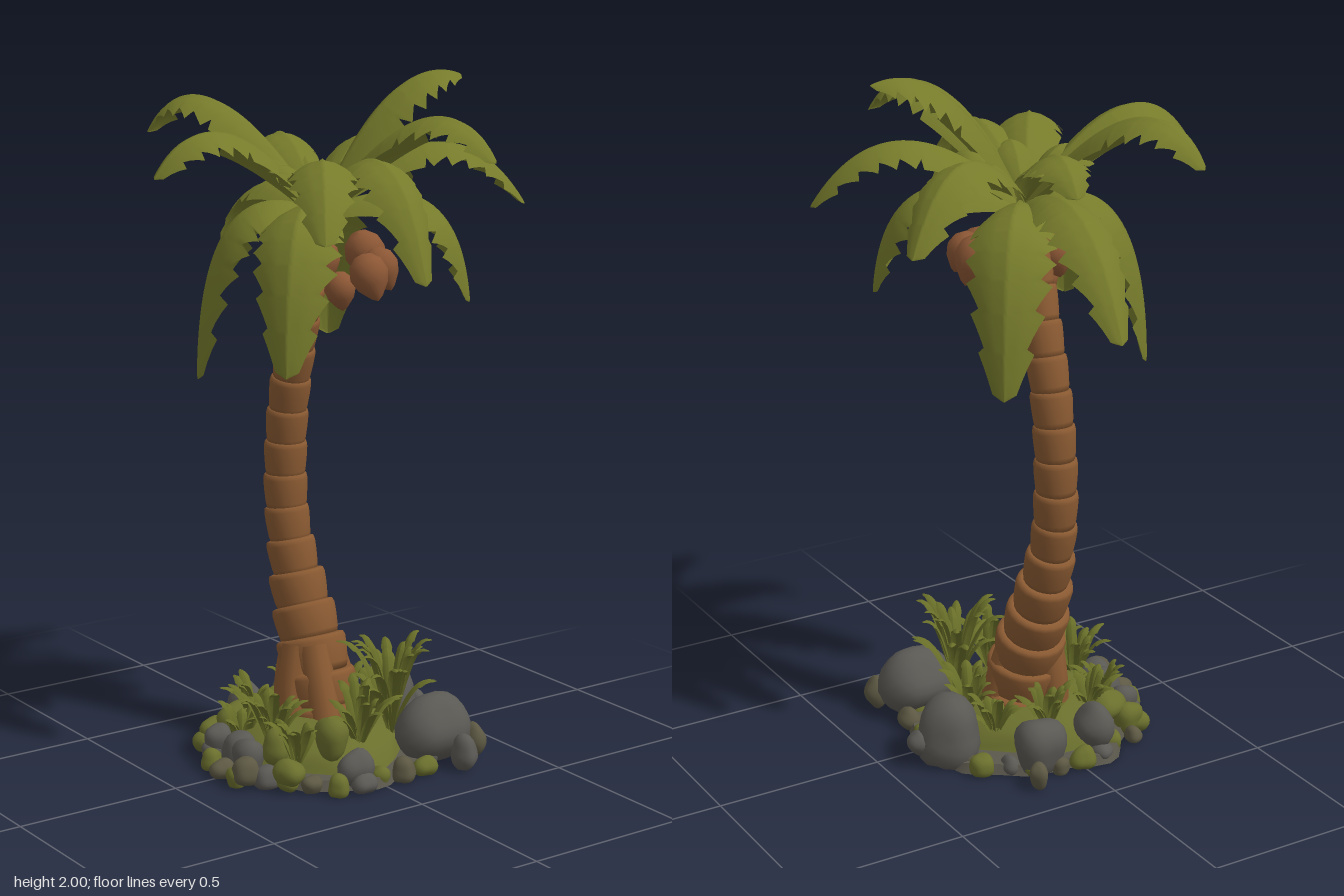
import * as THREE from 'three';
import { mergeVertices, mergeGeometries } from 'three/addons/utils/BufferGeometryUtils.js';

const mat = (name, color, side = THREE.FrontSide) => {
  const m = new THREE.MeshStandardMaterial({ color, side });
  m.name = name;
  return m;
};
const V = (x, y, z) => new THREE.Vector3(x, y, z);

// Repeatable random numbers
function seeded(seed) {
  let s = seed;
  return () => (s = (s * 16807) % 2147483647) / 2147483647;
}

// Arched leaf: rows along a curve, edges hanging down, blunt saw-tooth outer half
function leafGeometry(base, tip, archY, halfWidth, { reach = 0.55, teeth = 9, depth = 0.28, hang = 0.55 } = {}) {
  const ctrl = base.clone().lerp(tip, reach).setY(archY);
  const curve = new THREE.QuadraticBezierCurve3(base, ctrl, tip);
  const dir = tip.clone().sub(base).setY(0).normalize();
  const side = V(-dir.z, 0, dir.x);
  const cols = [-1, -0.7, -0.35, -0.07, 0, 0.07, 0.35, 0.7, 1];
  const ts = [];
  for (let i = 0; i < teeth; i++) for (const f of [0, 0.3, 0.6, 0.9]) ts.push([(i + f) / teeth, f]);
  ts.push([1, 0]);
  const pos = [], idx = [];
  ts.forEach(([t, f], r) => {
    const p = curve.getPoint(t), tan = curve.getTangent(t);
    const up = side.clone().cross(tan).normalize();
    if (up.y < 0 || (Math.abs(up.y) < 0.05 && up.dot(dir) < 0)) up.negate();
    const body = Math.pow(Math.sin(Math.PI * (0.07 + 0.86 * Math.pow(t, 1.08))), 0.75);
    const w = t === 1 ? halfWidth * 0.03 : halfWidth * body;
    const notch = t > 0.4 ? 1 - depth * f : 1;
    for (const u of cols) {
      const a = Math.abs(u), k = a > 0.6 ? u * notch : u * (0.5 + 0.5 * notch);
      const vein = a < 0.01 ? 0.05 : 0;
      const q = p.clone().addScaledVector(side, k * w)
        .addScaledVector(up, w * (vein - hang * k * k))
        .addScaledVector(tan, -(1 - notch) * a * w * 0.3);
      pos.push(q.x, q.y, q.z);
    }
    if (r) for (let c = 0; c < cols.length - 1; c++) {
      const a = (r - 1) * cols.length + c, b = a + cols.length;
      idx.push(a, a + 1, b, a + 1, b + 1, b);
    }
  });
  const g = new THREE.BufferGeometry();
  g.setAttribute('position', new THREE.Float32BufferAttribute(pos, 3));
  g.setIndex(idx);
  g.computeVertexNormals();
  return g;
}

// Lumpy boulder with a flat underside at the given floor
function rockGeometry(x, y, z, rx, ry, rz, seed, floor = 0) {
  let g = new THREE.IcosahedronGeometry(1, 3);
  g.deleteAttribute('uv');
  g.deleteAttribute('normal');
  g = mergeVertices(g);
  const p = g.attributes.position, v = V(0, 0, 0);
  for (let i = 0; i < p.count; i++) {
    v.fromBufferAttribute(p, i);
    const k = 1 + 0.08 * Math.sin(v.x * 3 + seed) + 0.07 * Math.sin(v.y * 4 + seed * 2) + 0.08 * Math.cos(v.z * 3.5 + seed * 3);
    p.setXYZ(i, x + v.x * k * rx, Math.max(floor, y + v.y * k * ry), z + v.z * k * rz);
  }
  g.computeVertexNormals();
  return g;
}

export function createModel() {
  const root = new THREE.Group();
  const leafMat = mat('palm green', 0x767b2b, THREE.DoubleSide);
  const grassMat = mat('grass green', 0x686e28, THREE.DoubleSide);
  const barkMat = mat('bark brown', 0x8a5a32);
  const nutMat = mat('coconut brown', 0x8c5735);
  const stoneMat = mat('stone grey', 0x5b5954);
  const mossMat = mat('mossy stone', 0x6a6f2d);
  const olive = mat('olive stone', 0x5c5843);
  const earthMat = mat('dark earth', 0x5b584d);
  const add = (parent, name, geo, material) => {
    const m = new THREE.Mesh(geo, material);
    m.name = name;
    parent.add(m);
    return m;
  };
  const group = name => {
    const g = new THREE.Group();
    g.name = name;
    root.add(g);
    return g;
  };
  const rand = seeded(71);

  // Trunk: overlapping flared rings along a bent path
  const trunk = group('trunk');
  const path = new THREE.CatmullRomCurve3([
    V(-0.01, 0.04, -0.025), V(-0.05, 0.24, -0.025), V(-0.125, 0.45, -0.02), V(-0.18, 0.68, -0.01), V(-0.188, 0.88, -0.01),
    V(-0.168, 1.06, -0.01), V(-0.12, 1.24, -0.008), V(-0.06, 1.41, 0), V(-0.01, 1.57, 0)]);
  const rings = 16;
  for (let i = 0; i < rings; i++) {
    const t = i / rings, a = path.getPointAt(t), b = path.getPointAt((i + 1) / rings);
    const h = a.distanceTo(b) * 1.1;
    const r = 0.051 + 0.023 * (1 - t) + 0.045 * Math.pow(Math.max(0, 1 - t * 3), 0.8);
    const prof = [[0, 0], [0.88, 0], [0.95, 0.2], [1, 0.55], [1.02, 0.85], [0.98, 0.97], [0.85, 1], [0, 1]];
    const ring = add(trunk, 'trunkRing', new THREE.LatheGeometry(prof.map(([x, y]) => new THREE.Vector2(x * r, y * h)), 20), barkMat);
    ring.position.copy(a);
    ring.quaternion.setFromUnitVectors(V(0, 1, 0), b.clone().sub(a).normalize());
  }
  // Root flares
  for (const [x, z] of [[0.085, 0.02], [-0.12, 0.03], [-0.02, 0.08], [0.0, -0.12]]) {
    const rootCurve = new THREE.CatmullRomCurve3([V(-0.05 + x * 0.4, 0.33, z * 0.5), V(-0.03 + x * 0.75, 0.2, z * 0.8), V(x, 0.03, z)]);
    add(trunk, 'rootFlare', new THREE.TubeGeometry(rootCurve, 10, 0.045, 10), barkMat);
  }

  // Crown: tip x, y, z, arch height, half width, reach of the bend
  const crown = group('crown');
  const fronds = [
    [-0.55, 1.36, -0.03, 1.82, 0.10, 0.64], [-0.54, 1.80, 0.23, 2.10, 0.095, 0.7],
    [-0.02, 1.74, 0.53, 2.02, 0.10, 0.65], [0.47, 1.60, 0.31, 1.98, 0.10, 0.6],
    [0.55, 1.48, 0.04, 2.02, 0.10, 0.7], [0.55, 1.79, -0.19, 2.08, 0.095, 0.68],
    [0.25, 1.62, -0.54, 1.98, 0.095, 0.62], [0.09, 1.98, -0.43, 2.06, 0.11, 0.5],
    [-0.28, 1.60, -0.51, 1.99, 0.105, 0.6], [-0.37, 1.72, -0.06, 1.94, 0.095, 0.65],
    [-0.16, 1.14, 0.31, 1.77, 0.125, 0.95], [0.30, 1.22, 0.32, 1.79, 0.125, 0.95],
    [-0.34, 1.18, -0.27, 1.79, 0.125, 0.95], [0.23, 1.35, -0.36, 1.79, 0.125, 0.9]];
  const heart = V(0, 1.61, 0);
  for (const [x, y, z, arch, w, reach] of fronds)
    add(crown, 'frond', leafGeometry(heart, V(x, y, z), arch, w, { reach }), leafMat);
  // Short young leaves in the heart
  for (let i = 0; i < 6; i++) {
    const a = i * 1.047 + 0.3;
    add(crown, 'youngLeaf', leafGeometry(heart, V(Math.cos(a) * 0.2, 1.74, Math.sin(a) * 0.2), 1.8, 0.06, { teeth: 5 }), leafMat);
  }

  // Coconuts hanging below the leaves
  const nuts = group('coconuts');
  for (const [x, y, z, r] of [[0.08, 1.49, 0.05, 0.054], [0.0, 1.39, 0.06, 0.046], [0.17, 1.45, -0.05, 0.056],
    [0.13, 1.46, -0.12, 0.052], [0.0, 1.48, -0.16, 0.06], [-0.05, 1.47, 0.07, 0.052], [0.03, 1.39, -0.05, 0.046]]) {
    const n = add(nuts, 'coconut', new THREE.LatheGeometry([[0, -1.4], [0.3, -1.2], [0.8, -0.6], [1, 0], [0.85, 0.6], [0.45, 1], [0, 1.1]]
      .map(([a, b]) => new THREE.Vector2(a * r, b * r)), 16), nutMat);
    n.position.set(x, y, z);
    n.rotation.set(-z * 2.5, 0, x * 2.5);
  }

  // Earth disc with a wavy rim, mound and boulders
  const ground = group('ground');
  const disc = new THREE.CylinderGeometry(0.32, 0.33, 0.03, 48);
  const dp = disc.attributes.position;
  for (let i = 0; i < dp.count; i++) {
    const a = Math.atan2(dp.getZ(i), dp.getX(i)), k = 1 + 0.05 * Math.sin(a * 5) + 0.04 * Math.sin(a * 9 + 1);
    dp.setXYZ(i, dp.getX(i) * k - 0.01, dp.getY(i) + 0.015, dp.getZ(i) * k - 0.015);
  }
  disc.computeVertexNormals();
  add(ground, 'earthDisc', disc, earthMat);
  add(ground, 'mound', rockGeometry(0, 0.01, 0, 0.31, 0.11, 0.31, 2, 0.012), mossMat);
  const boulders = [
    [0.23, 0.1, -0.24, 0.1, 0.11, 0.1], [-0.08, 0.08, -0.31, 0.105, 0.105, 0.1], [-0.28, 0.08, -0.12, 0.075, 0.09, 0.07],
    [-0.27, 0.09, 0.07, 0.06, 0.075, 0.06], [-0.02, 0.06, 0.27, 0.055, 0.06, 0.05], [0.04, 0.06, 0.28, 0.05, 0.055, 0.05],
    [0.29, 0.06, 0.08, 0.045, 0.06, 0.05], [0.35, 0.05, -0.27, 0.045, 0.05, 0.038], [-0.13, 0.06, 0.27, 0.04, 0.045, 0.04],
    [-0.07, 0.07, -0.405, 0.035, 0.04, 0.03]];
  boulders.forEach((b, i) => add(ground, 'boulder', rockGeometry(...b, i + 1), stoneMat));
  [[0.3, 0.06, -0.345, 0.035, 0.055, 0.038], [0.1, 0.045, 0.33, 0.04, 0.045, 0.04], [-0.38, 0.04, -0.18, 0.028, 0.04, 0.028]]
    .forEach((b, i) => add(ground, 'oliveStone', rockGeometry(...b, i + 4), olive));
  [[0.2, 0.13, 0.1, 0.052, 0.06, 0.052], [-0.19, 0.09, 0.17, 0.055, 0.055, 0.055], [0.09, 0.09, 0.21, 0.045, 0.05, 0.045],
    [-0.21, 0.05, 0.23, 0.045, 0.045, 0.045], [0.2, 0.05, 0.24, 0.045, 0.045, 0.045]]
    .forEach((b, i) => add(ground, 'mossyBoulder', rockGeometry(...b, i + 6), mossMat));

  // Ring of pebbles round the rim
  for (let i = 0; i < 28; i++) {
    const a = i / 28 * Math.PI * 2, d = 0.3 + 0.055 * rand(), r = 0.026 + 0.014 * rand();
    add(ground, 'pebble', rockGeometry(Math.cos(a) * d, r * 0.7, Math.sin(a) * d, r, r, r, i), [mossMat, stoneMat, mossMat, olive][i % 4]);
  }

  // Grass tufts: centre x, y, z, spread, height, blade count
  const grass = group('grass');
  for (const [cx, cy, cz, spread, height, count] of [
    [0.15, 0.1, -0.15, 0.17, 0.27, 26], [0.2, 0.1, 0.0, 0.14, 0.19, 15], [0.03, 0.08, 0.19, 0.13, 0.18, 18],
    [-0.17, 0.09, 0.12, 0.11, 0.12, 13], [-0.2, 0.09, -0.04, 0.11, 0.14, 13], [0.0, 0.09, -0.19, 0.11, 0.15, 12],
    [0.17, 0.07, 0.2, 0.1, 0.13, 12], [-0.13, 0.07, -0.18, 0.1, 0.13, 11], [-0.08, 0.07, 0.22, 0.1, 0.11, 12]]) {
    const blades = [];
    for (let i = 0; i < count; i++) {
      const a = i * 2.4 + rand(), d = spread * (0.4 + 0.6 * rand()), h = height * (0.5 + 0.5 * rand());
      const tip = V(cx + Math.cos(a) * d, cy + h, cz + Math.sin(a) * d);
      blades.push(leafGeometry(V(cx, cy - 0.03, cz), tip, cy + h * 1.15, 0.018, { reach: 0.4, teeth: 3, depth: 0.2 }));
    }
    add(grass, 'grassTuft', mergeGeometries(blades), grassMat);
  }
  return root;
}
